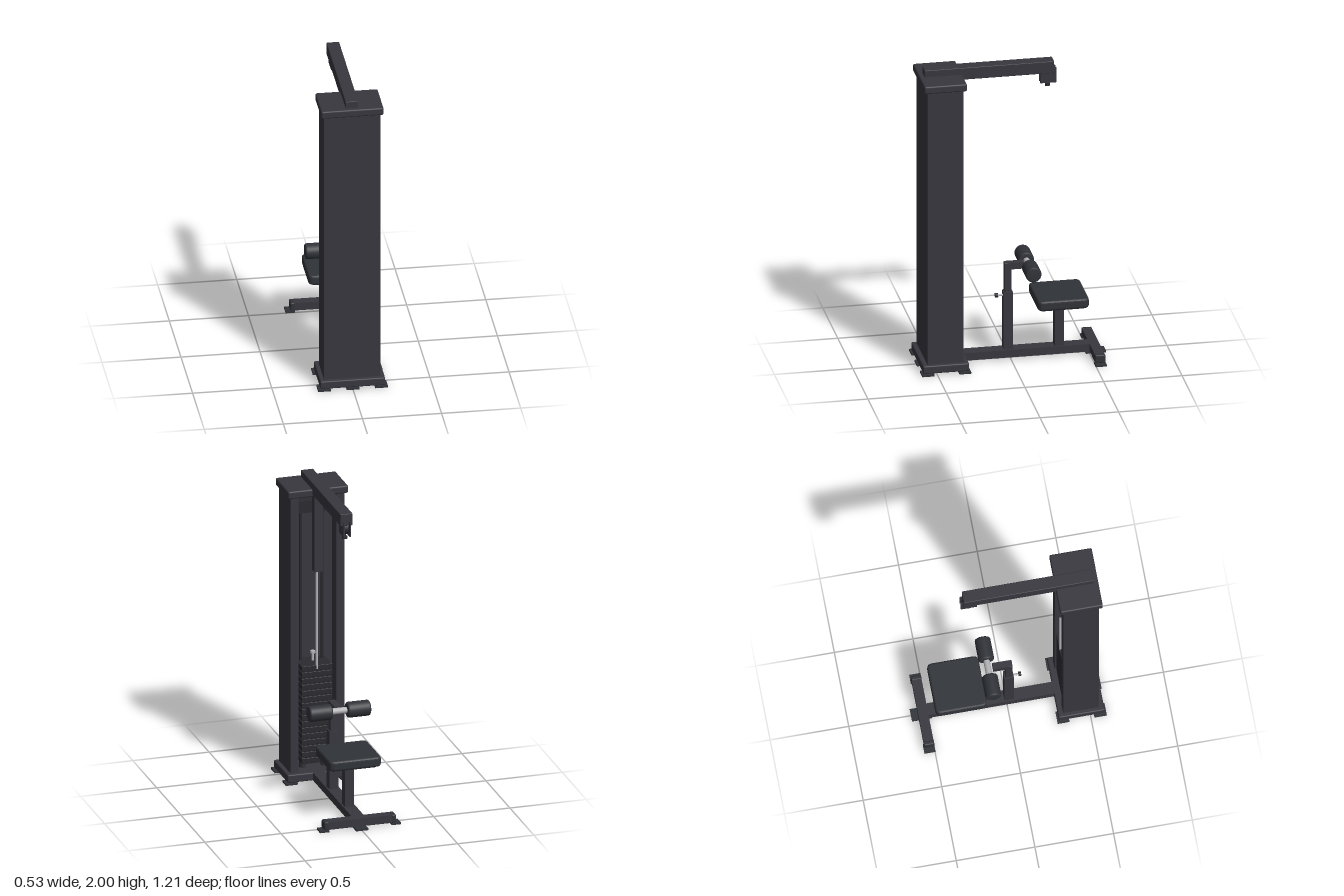
import * as THREE from 'three';
import { RoundedBoxGeometry } from 'three/addons/geometries/RoundedBoxGeometry.js';

const mat = (name, color) => {
  const m = new THREE.MeshStandardMaterial({ color });
  m.name = name;
  return m;
};

export function createModel() {
  const frame = mat('charcoal frame', 0x38373e);
  const pad = mat('black padding', 0x303338);
  const iron = mat('dark iron', 0x2b2b30);
  const steel = mat('bright steel', 0xb4b4b8);

  const model = new THREE.Group();
  model.name = 'pulldownMachine';

  const add = (name, geo, material, x = 0, y = 0, z = 0) => {
    const mesh = new THREE.Mesh(geo, material);
    mesh.name = name;
    mesh.position.set(x, y, z);
    model.add(mesh);
    return mesh;
  };
  // Block given by its limits on each axis; r rounds the edges
  const block = (name, material, [x0, x1], [y0, y1], [z0, z1], r = 0) => {
    const s = [x1 - x0, y1 - y0, z1 - z0];
    const geo = r ? new RoundedBoxGeometry(...s, 3, r) : new THREE.BoxGeometry(...s);
    return add(name, geo, material, (x0 + x1) / 2, (y0 + y1) / 2, (z0 + z1) / 2);
  };
  const rod = (name, material, r, h, x, y, z, axis = 'y') => {
    const mesh = add(name, new THREE.CylinderGeometry(r, r, h, 20), material, x, y, z);
    if (axis === 'x') mesh.rotation.z = Math.PI / 2;
    if (axis === 'z') mesh.rotation.x = Math.PI / 2;
    return mesh;
  };

  // Floor frame
  block('towerBase', frame, [-0.205, 0.205], [0.012, 0.065], [0.298, 0.59], 0.008);
  block('floorBeam', frame, [-0.04, 0.04], [0.014, 0.065], [-0.53, 0.32]);
  block('crossBar', frame, [-0.21, 0.21], [0.014, 0.065], [-0.562, -0.5]);
  for (const s of [-1, 1]) {
    const span = (a, b) => (s > 0 ? [a, b] : [-b, -a]);
    block('crossBarEndCap', pad, span(0.205, 0.235), [0.012, 0.067], [-0.564, -0.498], 0.008);
    block('crossBarFoot', pad, span(0.205, 0.265), [0, 0.012], [-0.567, -0.497]);
    for (const z of [[0.288, 0.363], [0.522, 0.6]])
      block('towerFoot', pad, span(0.14, 0.22), [0, 0.012], z);

    // Tower sides and the uprights beside the opening
    block('towerSide', frame, span(0.16, 0.178), [0.06, 1.91], [0.38, 0.555]);
    block('upright', frame, span(0.122, 0.178), [0.06, 1.91], [0.33, 0.384], 0.006);
  }
  block('middleFoot', pad, [-0.04, 0.04], [0, 0.012], [-0.605, -0.477]);
  block('frontFoot', pad, [-0.04, 0.04], [0, 0.012], [0.522, 0.6]);

  // Tower shell, cap and inner crosspiece
  block('towerPanel', frame, [-0.18, 0.18], [0.06, 1.91], [0.54, 0.56], 0.005);
  block('towerCap', frame, [-0.197, 0.197], [1.905, 1.955], [0.31, 0.58], 0.01);
  block('innerCrosspiece', iron, [-0.16, 0.16], [1.76, 1.84], [0.42, 0.5]);

  // Overhead boom with its hanging pulley bracket
  block('boom', frame, [-0.04, 0.04], [1.92, 2], [-0.275, 0.55], 0.004);
  for (const x of [-0.02, 0.02])
    block('pulleyBracket', frame, [x - 0.004, x + 0.004], [1.85, 1.95], [-0.292, -0.19]);
  rod('pulley', iron, 0.042, 0.026, 0, 1.897, -0.238, 'x');
  rod('cableEnd', iron, 0.008, 0.04, 0, 1.845, -0.238);
  rod('cableStop', iron, 0.016, 0.016, 0, 1.832, -0.238);

  // Cable duct and rod inside the opening
  block('cableDuct', frame, [-0.027, 0.027], [1.4, 1.92], [0.307, 0.362]);
  rod('cableRod', steel, 0.009, 0.68, 0, 1.08, 0.345);

  // Weight stack
  const plates = 16, pitch = 0.041;
  for (let i = 0; i < plates; i++) {
    const y = 0.115 + i * pitch;
    block('weightPlate', iron, [-0.1, 0.1], [y, y + pitch - 0.006], [0.338, 0.5], 0.003);
  }
  block('stackCore', iron, [-0.09, 0.09], [0.11, 0.76], [0.346, 0.492]);
  for (const x of [-0.07, 0.07]) {
    rod('stackGuide', iron, 0.009, 1.75, x, 0.93, 0.46);
    rod('bumper', pad, 0.022, 0.06, x, 0.09, 0.42);
  }
  rod('stackStem', steel, 0.009, 0.06, 0, 0.79, 0.43);
  rod('stackStemHead', steel, 0.016, 0.016, 0, 0.822, 0.43);

  // Seat
  block('seatPost', frame, [-0.03, 0.03], [0.06, 0.36], [-0.34, -0.28]);
  block('seatPlate', iron, [-0.14, 0.14], [0.352, 0.37], [-0.445, -0.175]);
  const r = 0.02, w = 0.17 - 0.013, d = 0.163 - 0.013;
  const outline = new THREE.Shape();
  outline.moveTo(-w + r, -d).lineTo(w - r, -d).quadraticCurveTo(w, -d, w, -d + r)
    .lineTo(w, d - r).quadraticCurveTo(w, d, w - r, d)
    .lineTo(-w + r, d).quadraticCurveTo(-w, d, -w, d - r)
    .lineTo(-w, -d + r).quadraticCurveTo(-w, -d, -w + r, -d);
  const cushion = new THREE.ExtrudeGeometry(outline, {
    depth: 0.034, bevelSize: 0.013, bevelThickness: 0.015, bevelSegments: 4, curveSegments: 6,
  });
  add('seatCushion', cushion, pad, 0, 0.378, -0.312).rotation.x = -Math.PI / 2;

  // Thigh roller support
  block('rollerPost', frame, [-0.03, 0.03], [0.06, 0.45], [-0.015, 0.045]);
  block('rollerSlider', frame, [-0.022, 0.022], [0.44, 0.645], [-0.007, 0.038], 0.004);
  block('rollerArm', frame, [-0.022, 0.022], [0.602, 0.645], [-0.085, 0.02]);
  rod('adjusterPin', steel, 0.007, 0.05, 0, 0.425, 0.06, 'z');
  rod('adjusterKnob', iron, 0.014, 0.018, 0, 0.425, 0.086, 'z');
  rod('rollerAxle', steel, 0.02, 0.16, 0, 0.625, -0.115, 'x');

  // Padded rollers
  const profile = [[0, 0], [0.04, 0], [0.047, 0.004], [0.05, 0.012], [0.05, 0.138],
    [0.047, 0.146], [0.04, 0.15], [0, 0.15]].map(p => new THREE.Vector2(...p));
  for (const x of [0.2, -0.05])
    add('thighRoller', new THREE.LatheGeometry(profile, 32), pad, x, 0.625, -0.115)
      .rotation.z = Math.PI / 2;

  return model;
}
